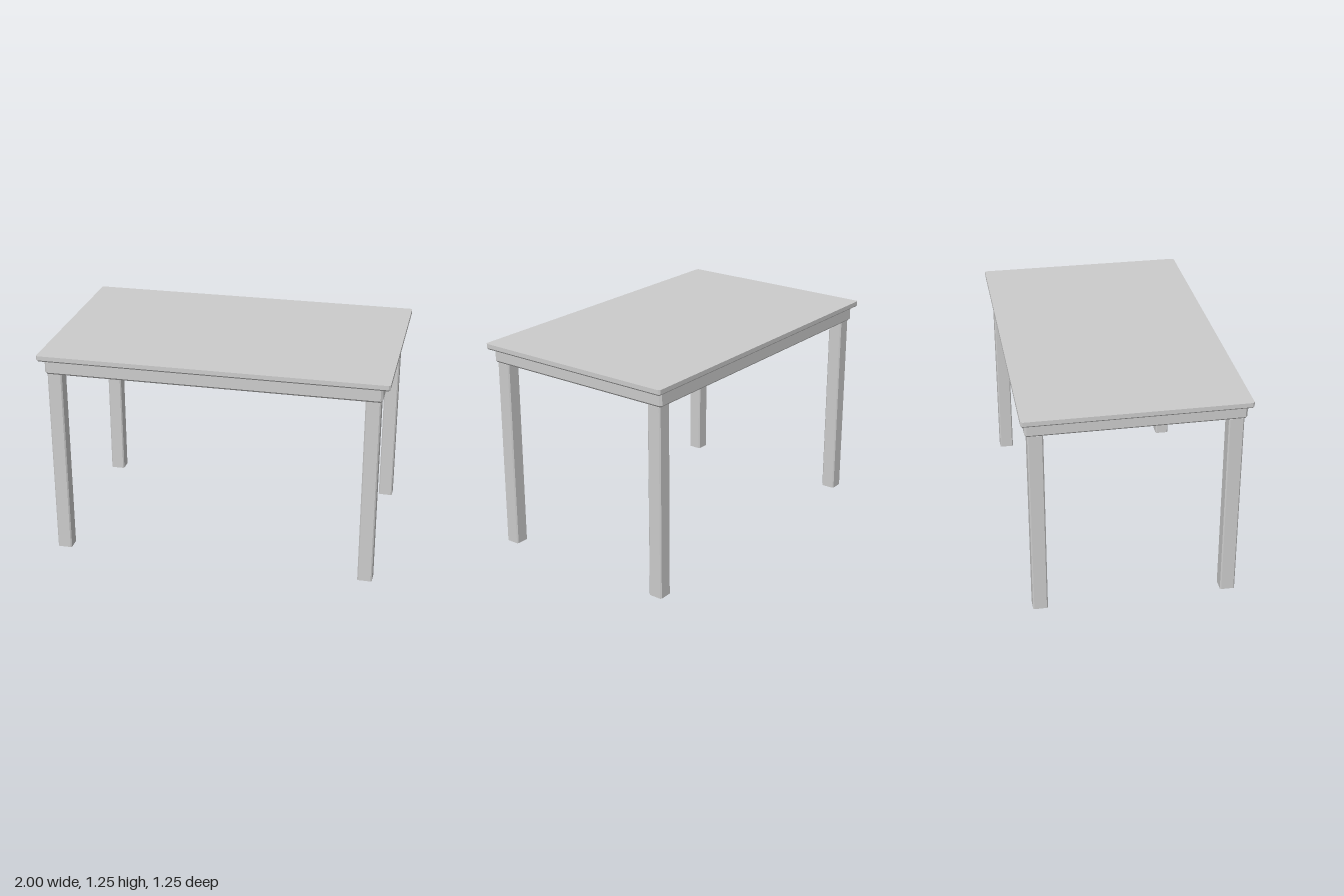
import * as THREE from 'three';
import { ConvexGeometry } from 'three/addons/geometries/ConvexGeometry.js';

const material = new THREE.MeshStandardMaterial({ color: 0xcccccc, flatShading: true });

// Block with chamfered vertical edges and, if asked, a chamfered bottom rim
function chamferedBlock(name, halfX, halfZ, y0, y1, cut, rim = 0) {
  const points = [];
  for (const sx of [-1, 1]) {
    for (const sz of [-1, 1]) {
      for (const y of [y0 + rim, y1]) {
        points.push(new THREE.Vector3(sx * halfX, y, sz * (halfZ - cut)));
        points.push(new THREE.Vector3(sx * (halfX - cut), y, sz * halfZ));
      }
      if (rim) points.push(new THREE.Vector3(sx * (halfX - cut), y0, sz * (halfZ - cut)));
    }
  }
  const mesh = new THREE.Mesh(new ConvexGeometry(points), material);
  mesh.name = name;
  return mesh;
}

export function createModel() {
  const table = new THREE.Group();
  table.name = 'table';

  // Top slab and the solid apron block below it
  table.add(chamferedBlock('tableTop', 1, 0.623, 1.21, 1.245, 0.01, 0.01));
  table.add(chamferedBlock('apron', 0.96, 0.6, 1.128, 1.21, 0.012, 0.012));

  // Four square legs set in from the corners
  for (const [sx, side] of [[1, 'Left'], [-1, 'Right']]) {
    for (const [sz, end] of [[1, 'front'], [-1, 'back']]) {
      const leg = chamferedBlock(`${end}${side}Leg`, 0.0425, 0.0425, 0, 1.128, 0.007);
      leg.position.set(sx * 0.908, 0, sz * 0.543);
      table.add(leg);
    }
  }
  return table;
}
